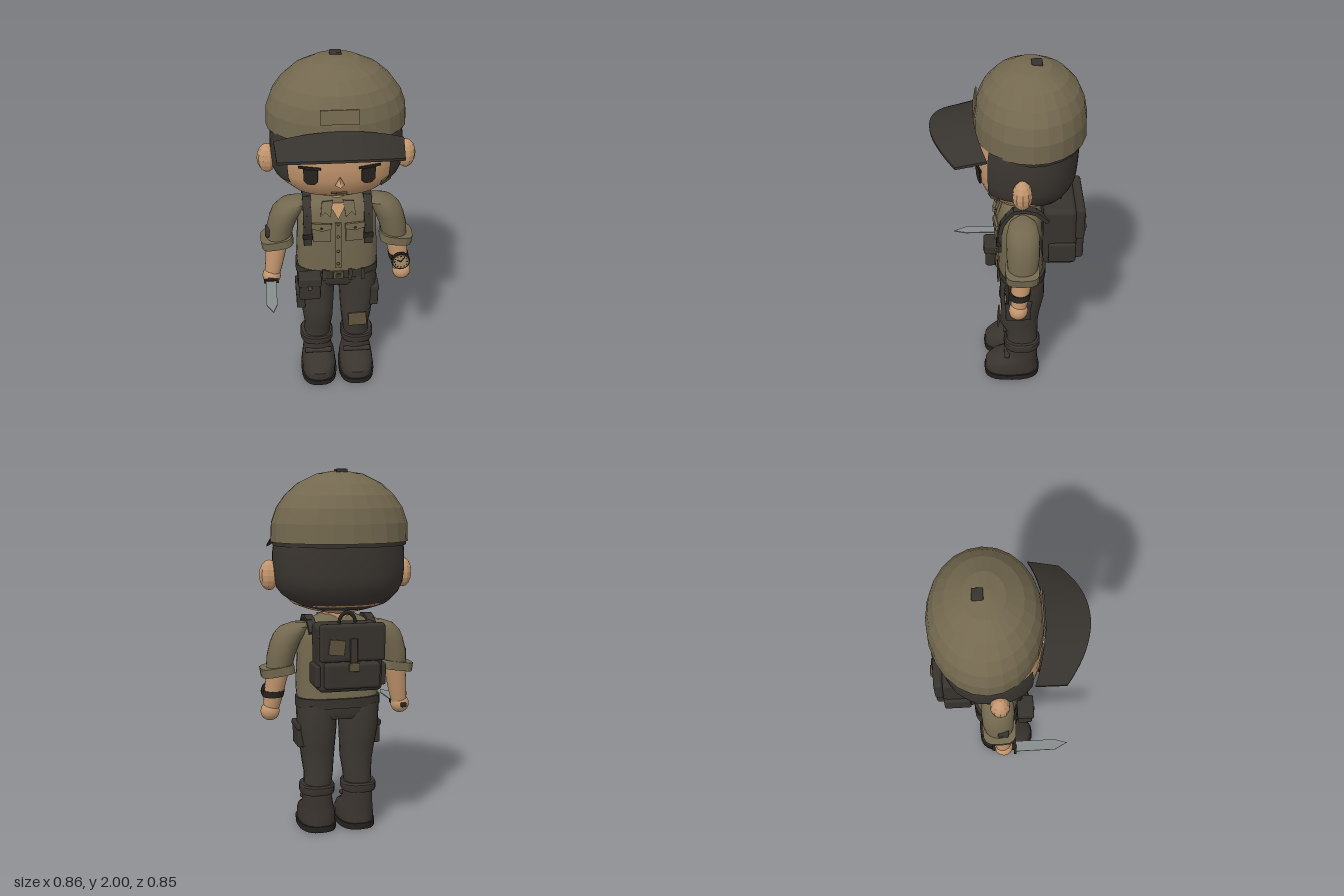
import * as THREE from 'three';
import { toCreasedNormals } from 'three/addons/utils/BufferGeometryUtils.js';
import { RoundedBoxGeometry } from 'three/addons/geometries/RoundedBoxGeometry.js';

const mat = (name, color, side = THREE.FrontSide) => Object.assign(new THREE.MeshStandardMaterial({ color, side }), { name });
const olive = mat('olive cloth', 0x73684f), skin = mat('skin', 0xc4976f), hairMat = mat('hair', 0x3a3530, THREE.DoubleSide),
  trousers = mat('trousers', 0x3d3832), gear = mat('dark canvas', 0x37332e), leather = mat('boot leather', 0x3a342f),
  black = mat('black', 0x26231f), steel = mat('steel', 0x878c8d), brown = mat('brown patch', 0x5e523c), tan = mat('tan', 0xa98c68);

// Cross-sections are [y, centre x, centre z, half width, half depth], listed upward
const lerpRing = (rings, y) => {
  let i = 0;
  while (i < rings.length - 2 && y > rings[i + 1][0]) i++;
  const t = Math.min(1, Math.max(0, (y - rings[i][0]) / (rings[i + 1][0] - rings[i][0])));
  return rings[i].map((v, k) => v + (rings[i + 1][k] - v) * t);
};
const pw = (v, e) => Math.sign(v) * Math.abs(v) ** e;
const ringPoint = ([y, cx, cz, rx, rz], a, e) => [cx + rx * pw(Math.sin(a), e), y, cz + rz * pw(Math.cos(a), e)];

function loft(rings, { n = 24, e = 1, crease = 0.7 } = {}) {
  const pos = [], idx = [], m = rings.length;
  for (const r of rings) for (let i = 0; i < n; i++) pos.push(...ringPoint(r, i / n * Math.PI * 2, e));
  for (const r of [rings[0], rings[m - 1]]) pos.push(r[1], r[0], r[2]);
  for (let i = 0; i < n; i++) {
    const j = (i + 1) % n, top = (m - 1) * n;
    for (let k = 0; k < m - 1; k++) {
      const a = k * n + i, b = k * n + j;
      idx.push(a, b, b + n, a, b + n, a + n);
    }
    idx.push(m * n, j, i, m * n + 1, top + i, top + j);
  }
  const g = new THREE.BufferGeometry();
  g.setAttribute('position', new THREE.Float32BufferAttribute(pos, 3));
  g.setIndex(idx);
  return toCreasedNormals(g, crease);
}

// Front surface of a loft at (x, y)
function frontPoint(rings, e, x, y) {
  const [, cx, cz, rx, rz] = lerpRing(rings, y), u = Math.min(0.995, Math.abs(x - cx) / rx);
  const s = u ** (1 / e);
  return new THREE.Vector3(x, y, cz + rz * Math.sqrt(1 - s * s) ** e);
}

const HEAD = [[1.235, 0.03, -0.16, 0.08], [1.255, 0.075, -0.21, 0.17], [1.285, 0.12, -0.27, 0.25], [1.34, 0.16, -0.31, 0.31],
  [1.4, 0.185, -0.335, 0.338], [1.48, 0.19, -0.342, 0.346], [1.56, 0.19, -0.345, 0.344], [1.64, 0.18, -0.345, 0.335]]
  .map(([y, f, b, rx]) => [y, 0, (f + b) / 2, rx, (f - b) / 2]);
const TORSO = [[0.73, 0, -0.055, 0.225, 0.13], [0.83, 0, -0.048, 0.232, 0.125], [0.96, 0, -0.045, 0.225, 0.125], [1.07, 0, -0.045, 0.222, 0.125],
  [1.14, 0, -0.048, 0.205, 0.117], [1.19, 0, -0.05, 0.165, 0.102], [1.225, 0, -0.052, 0.09, 0.075]];
const legRings = s => [[0.24, 0.118, -0.06, 0.075, 0.09], [0.33, 0.112, -0.06, 0.08, 0.093], [0.4, 0.112, -0.042, 0.088, 0.112], [0.48, 0.115, -0.05, 0.096, 0.112],
  [0.6, 0.12, -0.06, 0.108, 0.125], [0.73, 0.12, -0.06, 0.112, 0.125]].map(([y, x, ...r]) => [y, s * x, ...r]);
const HE = 0.85, TE = 0.75;

// Shape from corner points, extruded to a thin plate
function plate(pts, depth = 0.008) {
  return new THREE.ExtrudeGeometry(new THREE.Shape(pts.map(p => new THREE.Vector2(...p))), { depth, bevelEnabled: false });
}

export function createModel() {
  const root = new THREE.Group();
  const add = (name, geo, m, x = 0, y = 0, z = 0, parent = root) => {
    const o = new THREE.Mesh(geo, m);
    o.name = name;
    o.position.set(x, y, z);
    parent.add(o);
    return o;
  };
  const box = (name, m, w, h, d, x, y, z, r = 0) =>
    add(name, r ? new RoundedBoxGeometry(w, h, d, 2, r) : new THREE.BoxGeometry(w, h, d), m, x, y, z);
  // Lay a part on the front of a loft, facing along the surface
  const lay = (name, geo, m, rings, e, x, y, lift = 0.004, roll = 0) => {
    const p = frontPoint(rings, e, x, y), d = 0.01;
    const n = new THREE.Vector3(frontPoint(rings, e, x - d, y).z - frontPoint(rings, e, x + d, y).z,
      frontPoint(rings, e, x, y - d).z - frontPoint(rings, e, x, y + d).z, 2 * d).normalize();
    const o = add(name, geo, m, ...p.clone().addScaledVector(n, lift));
    o.lookAt(p.clone().addScaledVector(n, 1));
    o.rotateZ(roll);
    return o;
  };
  const thin = (w, h, d = 0.008) => new THREE.BoxGeometry(w, h, d);

  // Head and hair
  add('head', loft(HEAD, { n: 40, e: HE }), skin);
  add('neck', new THREE.CylinderGeometry(0.085, 0.085, 0.08, 20), skin, 0, 1.225, -0.055);
  const hair = [], hi = [], N = 40, M = 8, a0 = 0.8;
  for (let i = 0; i <= N; i++) {
    const a = a0 + (Math.PI * 2 - 2 * a0) * i / N, z = ringPoint(lerpRing(HEAD, 1.4), a, HE)[2];
    const low = 1.37 - 0.11 * Math.min(1, Math.max(0, (-0.06 - z) / 0.24));
    for (let k = 0; k <= M; k++) {
      const r = lerpRing(HEAD, low + (1.63 - low) * k / M);
      r[3] += 0.012; r[4] += 0.012;
      hair.push(...ringPoint(r, a, HE));
      const q = i * (M + 1) + k;
      if (i < N && k < M) hi.push(q, q + M + 1, q + M + 2, q, q + M + 2, q + 1);
    }
  }
  const hg = new THREE.BufferGeometry();
  hg.setAttribute('position', new THREE.Float32BufferAttribute(hair, 3));
  hg.setIndex(hi);
  hg.computeVertexNormals();
  add('hair', hg, hairMat);

  // Face
  const eye = plate([[-0.038, 0.045], [-0.038, -0.025], [-0.02, -0.045], [0.02, -0.045], [0.038, -0.025], [0.038, 0.045]]);
  for (const s of [-1, 1]) {
    lay('eye', eye, black, HEAD, HE, s * 0.15, 1.43, 0);
    lay('eyelid', thin(0.12, 0.012), black, HEAD, HE, s * 0.155, 1.485, 0.007);
    lay('brow', thin(0.125, 0.02), hairMat, HEAD, HE, s * 0.155, 1.532, 0.005, s * 0.05);
    const ear = add('ear', toCreasedNormals(new THREE.SphereGeometry(1, 10, 8), 0.1), skin, s * 0.375, 1.44, -0.045);
    ear.scale.set(0.055, 0.082, 0.052);
  }
  const nose = add('nose', new THREE.ConeGeometry(0.026, 0.05, 4), skin, 0, 1.412, 0.198);
  nose.scale.z = 1.2;
  lay('mouth', thin(0.085, 0.007), brown, HEAD, HE, 0, 1.315, 0.003);
  lay('cheekSmudge', thin(0.07, 0.035), brown, HEAD, HE, 0.25, 1.357, 0.005, 0.25);

  // Cap
  const CAP = [[1.62, 0.375, 0.295], [1.72, 0.371, 0.292], [1.8, 0.342, 0.277], [1.865, 0.295, 0.247], [1.925, 0.228, 0.192], [1.975, 0.125, 0.105], [1.99, 0.03, 0.03]]
    .map(([y, rx, rz]) => [y, 0, -0.1, rx, rz]);
  add('cap', loft(CAP, { n: 24, crease: 0.02 }), olive);
  add('capBand', loft([[1.6, 0, -0.1, 0.364, 0.284], [1.625, 0, -0.1, 0.366, 0.286]], { n: 24 }), gear);
  box('capButton', gear, 0.062, 0.02, 0.056, 0, 1.99, -0.13, 0.006);
  lay('capPatch', thin(0.2, 0.075), olive, CAP, 1, 0, 1.77, 0.004);
  const brim = new THREE.BoxGeometry(2, 0.014, 1, 20, 1, 4), bp = brim.attributes.position;
  for (let i = 0; i < bp.count; i++) {
    const u = bp.getX(i), v = bp.getZ(i) + 0.5, c = 1 - u * u;
    bp.setXYZ(i, u * (0.337 - 0.012 * v), 1.615 + 0.075 * c - v * (0.04 + 0.005 * c) + bp.getY(i), 0.13 + 0.065 * c + v * (0.16 + 0.07 * c));
  }
  add('brim', toCreasedNormals(brim, 0.5), gear);

  // Shirt
  add('shirt', loft(TORSO, { n: 32, e: TE }), olive);
  lay('openNeck', plate([[-0.05, 0.045], [0, -0.05], [0.05, 0.045]]), skin, TORSO, TE, 0, 1.155, 0.002);
  lay('placket', thin(0.035, 0.3), olive, TORSO, TE, 0, 0.94, 0.003);
  for (const y of [0.82, 0.905, 1.0, 1.08]) lay('button', new THREE.SphereGeometry(0.009, 8, 6), brown, TORSO, TE, 0, y, 0.008);
  for (const s of [-1, 1]) {
    const pts = [[s * 0.015, 0.05], [s * 0.03, -0.045], [s * 0.06, -0.015], [s * 0.085, -0.04], [s * 0.075, 0.045]];
    lay('collar', plate(pts, 0.014), olive, TORSO, TE, s * 0.012, 1.165, 0.004);
    lay('chestPocket', thin(0.1, 0.1, 0.014), olive, TORSO, TE, s * 0.09, 1.025, 0.006);
    lay('pocketFlap', plate([[-0.055, 0.02], [-0.055, -0.01], [0, -0.025], [0.055, -0.01], [0.055, 0.02]], 0.014), olive, TORSO, TE, s * 0.09, 1.068, 0.006);
    lay('pocketButton', new THREE.SphereGeometry(0.007, 8, 6), black, TORSO, TE, s * 0.09, 1.062, 0.02);
  }

  // Arms
  for (const s of [-1, 1]) {
    const side = r => r.map(([y, x, ...q]) => [y, s * x, ...q]);
    add('sleeve', loft(side([[0.92, 0.33, -0.052, 0.07, 0.08], [1.0, 0.318, -0.055, 0.077, 0.088], [1.07, 0.296, -0.055, 0.082, 0.09],
      [1.12, 0.27, -0.055, 0.088, 0.088], [1.16, 0.24, -0.055, 0.08, 0.075], [1.182, 0.215, -0.055, 0.04, 0.04]]), { n: 20 }), olive);
    const cuff = add('sleeveCuff', loft([[-0.024, 0, 0, 0.092, 0.093], [0.024, 0, 0, 0.092, 0.093]], { n: 16, e: 0.6, crease: 0.4 }), olive, s * 0.338, 0.922, -0.05);
    cuff.rotation.z = -s * 0.14;
    add('forearm', loft(side([[0.69, 0.372, -0.03, 0.042, 0.04], [0.75, 0.362, -0.035, 0.05, 0.048], [0.92, 0.335, -0.05, 0.064, 0.06]]), { n: 18 }), skin);
    add('hand', new THREE.SphereGeometry(0.053, 16, 12), skin, s * 0.376, 0.687, -0.028);
  }
  box('armPouch', gear, 0.03, 0.055, 0.06, -0.388, 0.985, -0.03, 0.008);

  // Wristwatch
  add('watchStrap', loft([[0.77, 0.36, -0.035, 0.058, 0.058], [0.805, 0.354, -0.037, 0.059, 0.06]], { n: 18 }), black);
  const watch = add('watchCase', new THREE.CylinderGeometry(0.053, 0.053, 0.018, 20), black, 0.362, 0.787, 0.032);
  watch.rotation.x = Math.PI / 2;
  add('watchDial', new THREE.CylinderGeometry(0.044, 0.044, 0.006, 20), tan, 0, 0.01, 0, watch);
  for (let i = 0; i < 12; i++) {
    const a = i / 12 * Math.PI * 2;
    add('watchTick', new THREE.BoxGeometry(0.006, 0.003, 0.006), black, Math.sin(a) * 0.036, 0.014, Math.cos(a) * 0.036, watch);
  }
  for (const [len, a] of [[0.03, 2.6], [0.024, -2.1]]) {
    const hand = add('watchHand', new THREE.BoxGeometry(0.006, 0.003, len), black, Math.sin(a) * len / 2, 0.014, Math.cos(a) * len / 2, watch);
    hand.rotation.y = a;
  }

  // Knife
  const blade = add('blade', plate([[-0.41, 0.04], [-0.35, 0.04], [-0.35, 0.265], [-0.372, 0.337], [-0.41, 0.265]], 0.006), steel, 0, 0.69, 0);
  blade.rotation.x = Math.PI / 2;
  box('knifeHandle', black, 0.034, 0.026, 0.14, -0.382, 0.687, -0.025, 0.008);
  box('knifeGuard', black, 0.085, 0.022, 0.014, -0.38, 0.687, 0.036);

  // Trousers and boots
  add('hips', loft([[0.65, 0, -0.06, 0.17, 0.11], [0.69, 0, -0.06, 0.228, 0.128], [0.75, 0, -0.06, 0.23, 0.13]], { n: 32, e: TE }), trousers);
  for (const s of [-1, 1]) {
    const side = r => r.map(([y, x, ...q]) => [y, s * x, ...q]);
    add('trouserLeg', loft(legRings(s), { n: 20, e: 0.85 }), trousers);
    box('cargoPocket', gear, 0.05, 0.125, 0.145, s * 0.212, 0.548, -0.035, 0.01);
    box('cargoFlap', gear, 0.062, 0.035, 0.155, s * 0.21, 0.602, -0.035, 0.008);
    add('bootSole', loft(side([[0, 0.113, 0, 0.105, 0.163], [0.035, 0.113, 0, 0.107, 0.166]]), { n: 24, e: 0.75 }), black);
    add('boot', loft(side([[0.035, 0.113, 0, 0.1, 0.159], [0.08, 0.113, 0, 0.101, 0.157], [0.115, 0.113, -0.015, 0.096, 0.138], [0.14, 0.115, -0.045, 0.088, 0.108],
      [0.17, 0.117, -0.06, 0.082, 0.093], [0.25, 0.118, -0.06, 0.08, 0.092]]), { n: 24, e: 0.8 }), leather);
    add('bootCuff', loft(side([[0.215, 0.12, -0.06, 0.094, 0.102], [0.225, 0.12, -0.06, 0.098, 0.107], [0.258, 0.12, -0.06, 0.098, 0.107],
      [0.268, 0.12, -0.06, 0.092, 0.1]]), { n: 20, e: 0.8, crease: 0.5 }), leather);
    box('ankleStrap', leather, 0.16, 0.022, 0.03, s * 0.116, 0.165, 0.03, 0.008);
  }
  lay('kneePatch', thin(0.105, 0.082), brown, legRings(1), 0.85, 0.113, 0.42, 0.008, 0.04);

  // Belt and pouch
  add('belt', loft([[0.715, 0, -0.06, 0.237, 0.137], [0.768, 0, -0.06, 0.237, 0.137]], { n: 32, e: TE }), gear);
  box('buckle', brown, 0.06, 0.05, 0.014, 0, 0.743, 0.084, 0.004);
  box('buckleCentre', gear, 0.034, 0.026, 0.01, 0, 0.743, 0.089);
  for (const x of [-0.08, 0.07, 0.14]) box('beltLoop', trousers, 0.02, 0.07, 0.012, x, 0.742, 0.076);
  box('beltPouch', gear, 0.12, 0.14, 0.085, -0.163, 0.69, 0.105, 0.014);
  box('pouchFlap', gear, 0.13, 0.06, 0.095, -0.163, 0.74, 0.108, 0.012);
  box('pouchClasp', brown, 0.022, 0.026, 0.012, -0.163, 0.71, 0.155, 0.004);

  // Backpack
  box('packBody', gear, 0.35, 0.36, 0.185, 0, 1.02, -0.262, 0.03);
  box('packFlap', gear, 0.352, 0.2, 0.05, 0, 1.11, -0.37, 0.018);
  box('packPocket', gear, 0.3, 0.14, 0.06, 0, 0.935, -0.365, 0.018);
  box('packStrap', leather, 0.04, 0.17, 0.012, 0, 1.05, -0.4, 0.004);
  box('packBuckle', brown, 0.056, 0.045, 0.018, 0, 0.985, -0.412, 0.005);
  const badge = box('packPatch', brown, 0.085, 0.08, 0.008, 0.09, 1.09, -0.4);
  badge.rotation.z = 0.12;
  for (const s of [-1, 1]) box('packSidePocket', gear, 0.03, 0.12, 0.15, s * 0.178, 0.93, -0.275, 0.012);
  const handle = add('packHandle', new THREE.TorusGeometry(0.045, 0.009, 6, 14, Math.PI), black, 0, 1.195, -0.265);
  handle.scale.y = 1.3;

  // Shoulder straps, made of short overlapping bands
  for (const s of [-1, 1]) {
    const x = s * 0.168;
    const path = [0.95, 1.0, 1.06, 1.12, 1.165].map(y => [y, frontPoint(TORSO, TE, x, y).z + 0.014]);
    path.push([1.205, -0.01], [1.212, -0.07], [1.195, -0.13], [1.14, -0.19]);
    for (let i = 0; i < path.length - 1; i++) {
      const [y1, z1] = path[i], [y2, z2] = path[i + 1];
      const band = box('shoulderStrap', gear, 0.046, 0.02, Math.hypot(y2 - y1, z2 - z1) + 0.01, x, (y1 + y2) / 2, (z1 + z2) / 2);
      band.rotation.x = Math.atan2(y1 - y2, z2 - z1);
    }
    box('strapBuckle', black, 0.056, 0.032, 0.024, x, 1.0, path[1][1] + 0.006, 0.005);
  }
  return root;
}
